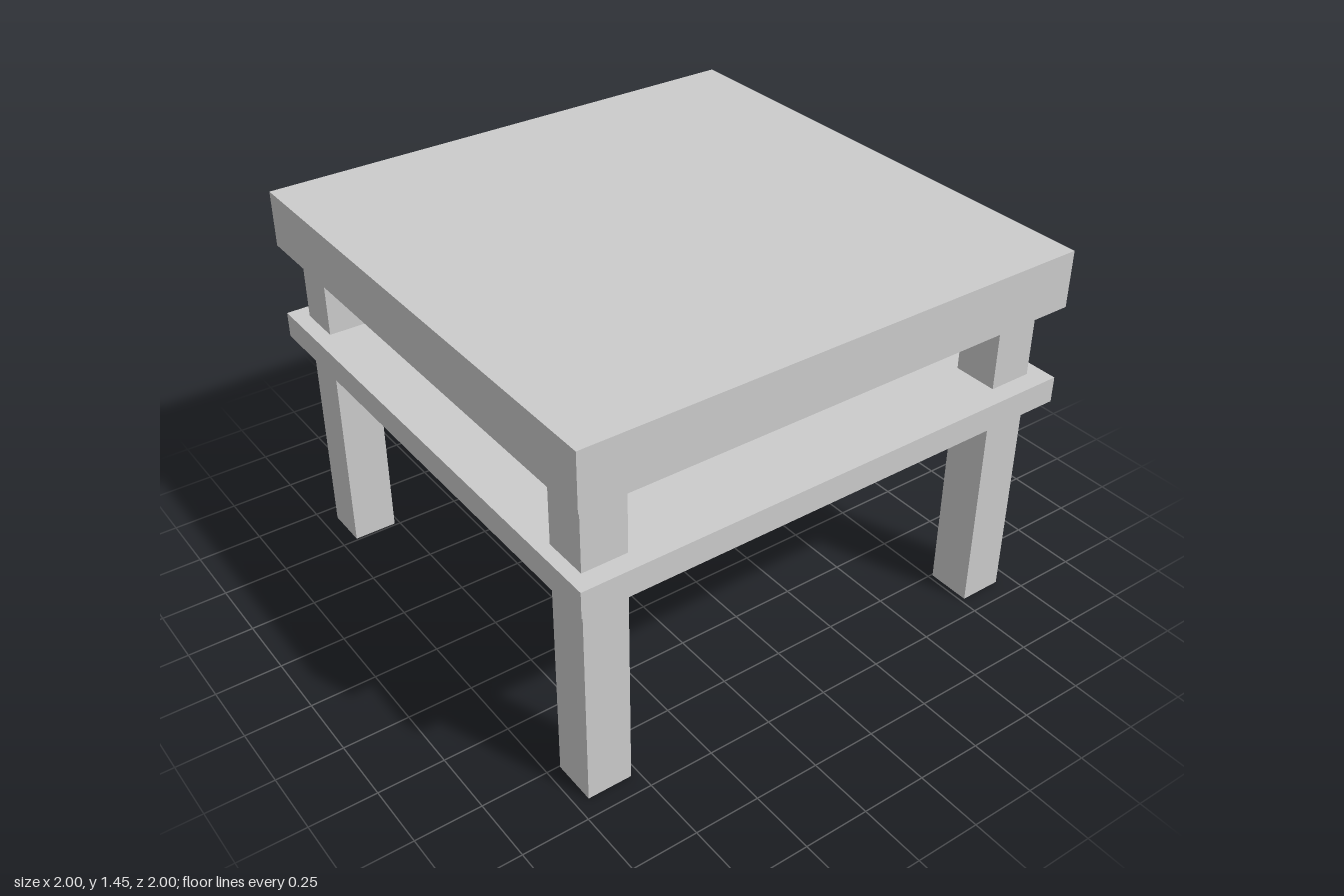
import * as THREE from 'three';

const material = new THREE.MeshStandardMaterial({ color: 0xcccccc, flatShading: true });

// Box standing on height y, centred on x and z
function addBox(parent, name, [w, h, d], [x, y, z]) {
  const mesh = new THREE.Mesh(new THREE.BoxGeometry(w, h, d), material);
  mesh.name = name;
  mesh.position.set(x, y + h / 2, z);
  parent.add(mesh);
}

export function createModel() {
  const table = new THREE.Group();
  table.name = 'table';

  // Thick top and thinner shelf of the same outline
  addBox(table, 'tableTop', [2, 0.217, 2], [0, 1.236, 0]);
  addBox(table, 'shelf', [2, 0.1, 2], [0, 0.85, 0]);

  // Four square legs running through the shelf, placed slightly unevenly
  const legs = {
    frontLeftLeg: [0.841, 0.865],
    frontRightLeg: [-0.845, 0.855],
    backLeftLeg: [0.841, -0.853],
    backRightLeg: [-0.841, -0.869],
  };
  for (const [name, [x, z]] of Object.entries(legs)) {
    addBox(table, name, [0.172, 1.24, 0.17], [x, 0, z]);
  }

  return table;
}
